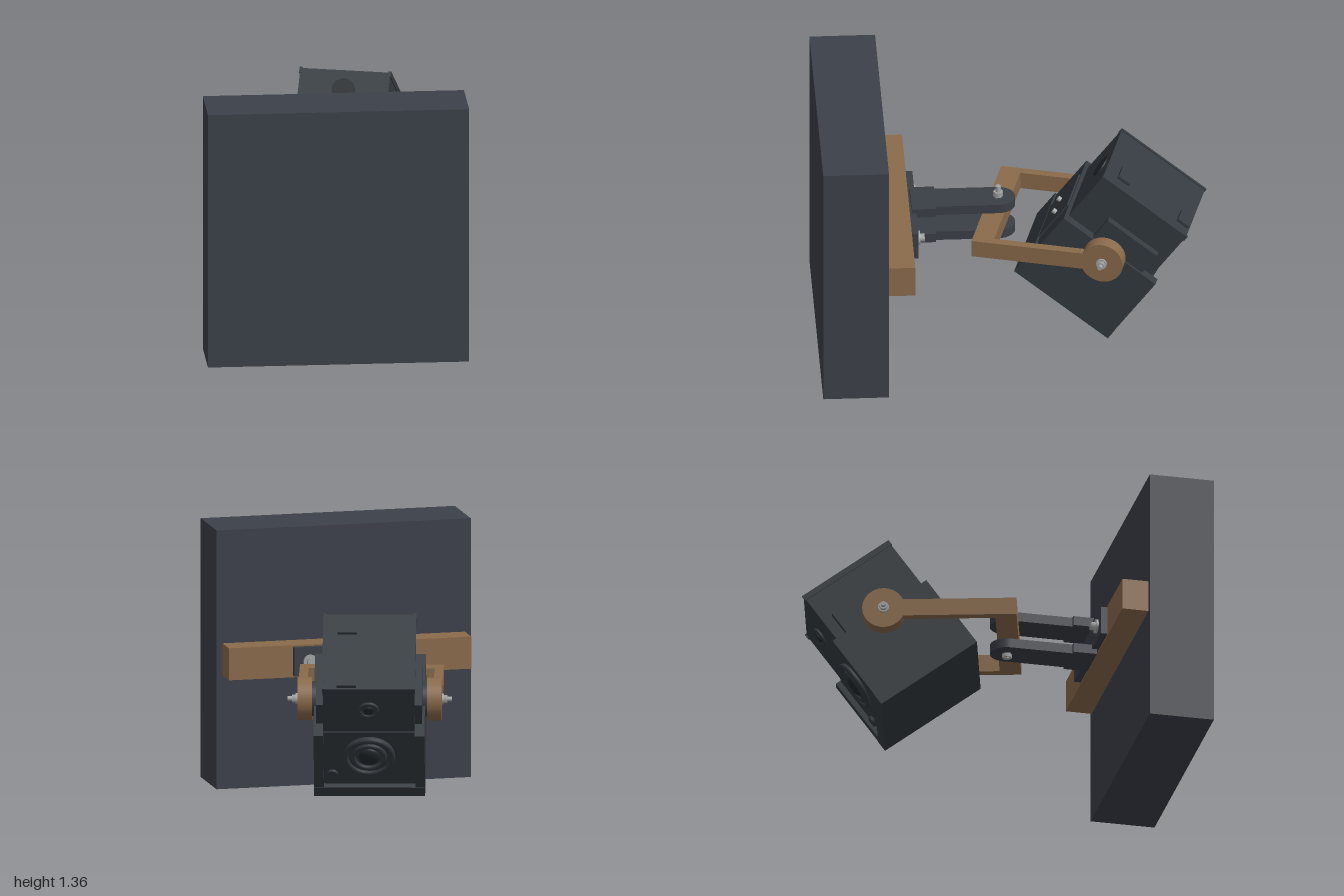
import * as THREE from 'three';

const mat = (name, color) => new THREE.MeshStandardMaterial({ name, color });

export function createModel() {
  const wallGrey = mat('wall slate', 0x3c4049);
  const iron = mat('bracket iron', 0x3a3e46);
  const shell = mat('housing grey', 0x343b40);
  const dark = mat('lens black', 0x23292c);
  const wood = mat('wood', 0x8a6a4b);
  const steel = mat('steel', 0xa3a5a4);

  const add = (parent, name, geo, material, x = 0, y = 0, z = 0) => {
    const m = new THREE.Mesh(geo, material);
    m.name = name;
    m.position.set(x, y, z);
    parent.add(m);
    return m;
  };
  // box given by its min and max on each axis
  const box = (parent, name, material, x0, x1, y0, y1, z0, z1) =>
    add(parent, name, new THREE.BoxGeometry(x1 - x0, y1 - y0, z1 - z0), material,
      (x0 + x1) / 2, (y0 + y1) / 2, (z0 + z1) / 2);
  // cylinder along a chosen axis
  const rod = (parent, name, material, axis, r, len, x, y, z, sides = 32) => {
    const g = new THREE.CylinderGeometry(r, r, len, sides);
    if (axis === 'x') g.rotateZ(Math.PI / 2);
    if (axis === 'z') g.rotateX(Math.PI / 2);
    return add(parent, name, g, material, x, y, z);
  };

  const root = new THREE.Group();
  root.name = 'wallMount';
  const midY = 0.68, pivotZ = 0.065;

  // wall, plank and plate
  box(root, 'wall', wallGrey, -0.673, 0.673, 0, 1.355, 0.662, 1);
  box(root, 'plank', wood, -0.642, 0.642, 0.595, 0.763, 0.525, 0.662);
  box(root, 'mountingPlate', iron, -0.303, 0.303, 0.605, 0.755, 0.49, 0.525);
  for (const s of [-1, 1]) {
    rod(root, 'plateWasher', steel, 'z', 0.037, 0.012, s * 0.22, midY, 0.484);
    rod(root, 'plateBolt', steel, 'z', 0.024, 0.03, s * 0.22, midY, 0.47, 6);
  }

  // clevis arms with a round end
  const arm = new THREE.Shape();
  arm.moveTo(-0.108, 0.515);
  arm.lineTo(0.108, 0.515);
  arm.lineTo(0.108, 0.39);
  arm.lineTo(0.087, 0.39);
  arm.lineTo(0.087, pivotZ);
  arm.absarc(0, pivotZ, 0.087, 0, -Math.PI, true);
  arm.lineTo(-0.087, 0.39);
  arm.lineTo(-0.108, 0.39);
  const armGeo = new THREE.ExtrudeGeometry(arm, { depth: 0.05, bevelEnabled: false, curveSegments: 20 });
  armGeo.rotateX(Math.PI / 2);
  for (const top of [0.78, 0.628]) add(root, 'clevisArm', armGeo, iron, 0, top, 0);
  rod(root, 'pivotPin', steel, 'y', 0.014, 0.29, 0, 0.697, pivotZ);
  rod(root, 'pivotNut', steel, 'y', 0.026, 0.03, 0, 0.795, pivotZ, 6);
  rod(root, 'pivotHead', steel, 'y', 0.026, 0.022, 0, 0.567, pivotZ, 6);

  // turned yoke
  const yoke = new THREE.Group();
  yoke.name = 'yoke';
  yoke.position.set(0, midY, pivotZ);
  yoke.rotation.y = -Math.PI / 12;
  root.add(yoke);
  const axleZ = -0.622;
  box(yoke, 'yokeBar', wood, -0.37, 0.37, -0.046, 0.046, -0.048, 0.062);
  for (const s of [-1, 1]) {
    box(yoke, 'yokeArm', wood, s * 0.347 - 0.023, s * 0.347 + 0.023, -0.046, 0.046, axleZ, -0.048);
    rod(yoke, 'yokeDisc', wood, 'x', 0.11, 0.075, s * 0.333, 0, axleZ, 40);
    rod(yoke, 'hub', iron, 'x', 0.09, 0.065, s * 0.264, 0, axleZ, 40);
    rod(yoke, 'axleWasher', steel, 'x', 0.028, 0.012, s * 0.375, 0, axleZ);
    rod(yoke, 'axleNut', steel, 'x', 0.022, 0.022, s * 0.389, 0, axleZ, 6);
    rod(yoke, 'axleEnd', steel, 'x', 0.012, 0.03, s * 0.407, 0, axleZ);
  }

  // tilted housing; its lens side faces local -z
  const body = new THREE.Group();
  body.name = 'housing';
  body.position.z = axleZ;
  body.rotation.x = -35 * Math.PI / 180;
  yoke.add(body);
  box(body, 'upperCase', shell, -0.235, 0.235, -0.38, 0.345, -0.265, 0.268);
  box(body, 'lowerCase', shell, -0.285, 0.285, -0.407, 0.033, -0.272, 0.288);
  box(body, 'frontLip', shell, -0.285, 0.285, -0.407, -0.345, -0.302, -0.272);
  box(body, 'rearLip', shell, -0.285, 0.285, -0.407, -0.24, 0.288, 0.298);
  for (const s of [-1, 1]) {
    box(body, 'frontRail', shell, s * 0.26 - 0.025, s * 0.26 + 0.025, -0.345, 0.033, -0.3, -0.272);
    box(body, 'sidePlate', shell, s * 0.253 - 0.019, s * 0.253 + 0.019, 0.033, 0.17, -0.21, 0.105);
    box(body, 'topRim', shell, s * 0.232 - 0.007, s * 0.232 + 0.007, 0.32, 0.351, -0.27, 0.272);
    for (const z of [-0.22, 0.16])
      box(body, 'topClip', shell, 0.115 - 0.05, 0.115 + 0.05, 0.34, 0.362, z - 0.035, z + 0.035);
  }

  // lens, built from rings
  const lens = new THREE.Group();
  lens.name = 'lens';
  lens.position.set(0, -0.13, -0.272);
  body.add(lens);
  const ringTurn = (parent, name, r, tube, material, z) =>
    add(parent, name, new THREE.TorusGeometry(r, tube, 10, 40), material, 0, 0, z);
  rod(lens, 'lensPlate', shell, 'z', 0.13, 0.02, 0, 0, -0.005, 40);
  ringTurn(lens, 'outerRing', 0.12, 0.014, shell, -0.014);
  ringTurn(lens, 'innerRing', 0.08, 0.012, shell, -0.016);
  const dome = new THREE.SphereGeometry(0.055, 28, 10, 0, Math.PI * 2, 0, Math.PI / 2);
  dome.scale(1, 0.4, 1).rotateX(-Math.PI / 2);
  add(lens, 'lensGlass', dome, dark, 0, 0, -0.014);

  // small finder above the lens, and a button beside it
  const finder = new THREE.Group();
  finder.name = 'finder';
  finder.position.set(0, 0.2, -0.265);
  body.add(finder);
  rod(finder, 'finderPlate', shell, 'z', 0.05, 0.012, 0, 0, -0.004);
  ringTurn(finder, 'finderRing', 0.045, 0.008, shell, -0.008);
  rod(finder, 'finderGlass', dark, 'z', 0.024, 0.012, 0, 0, -0.012);
  rod(body, 'frontButton', shell, 'z', 0.028, 0.02, 0.19, -0.27, -0.278);

  // rear door, window and screws
  box(body, 'rearDoor', shell, -0.15, 0.15, -0.235, 0.025, 0.288, 0.297);
  rod(body, 'rearWindow', dark, 'z', 0.06, 0.012, 0, 0.24, 0.268);
  for (const s of [-1, 1]) rod(body, 'rearScrew', steel, 'z', 0.014, 0.025, s * 0.06, -0.11, 0.303, 16);

  return root;
}
